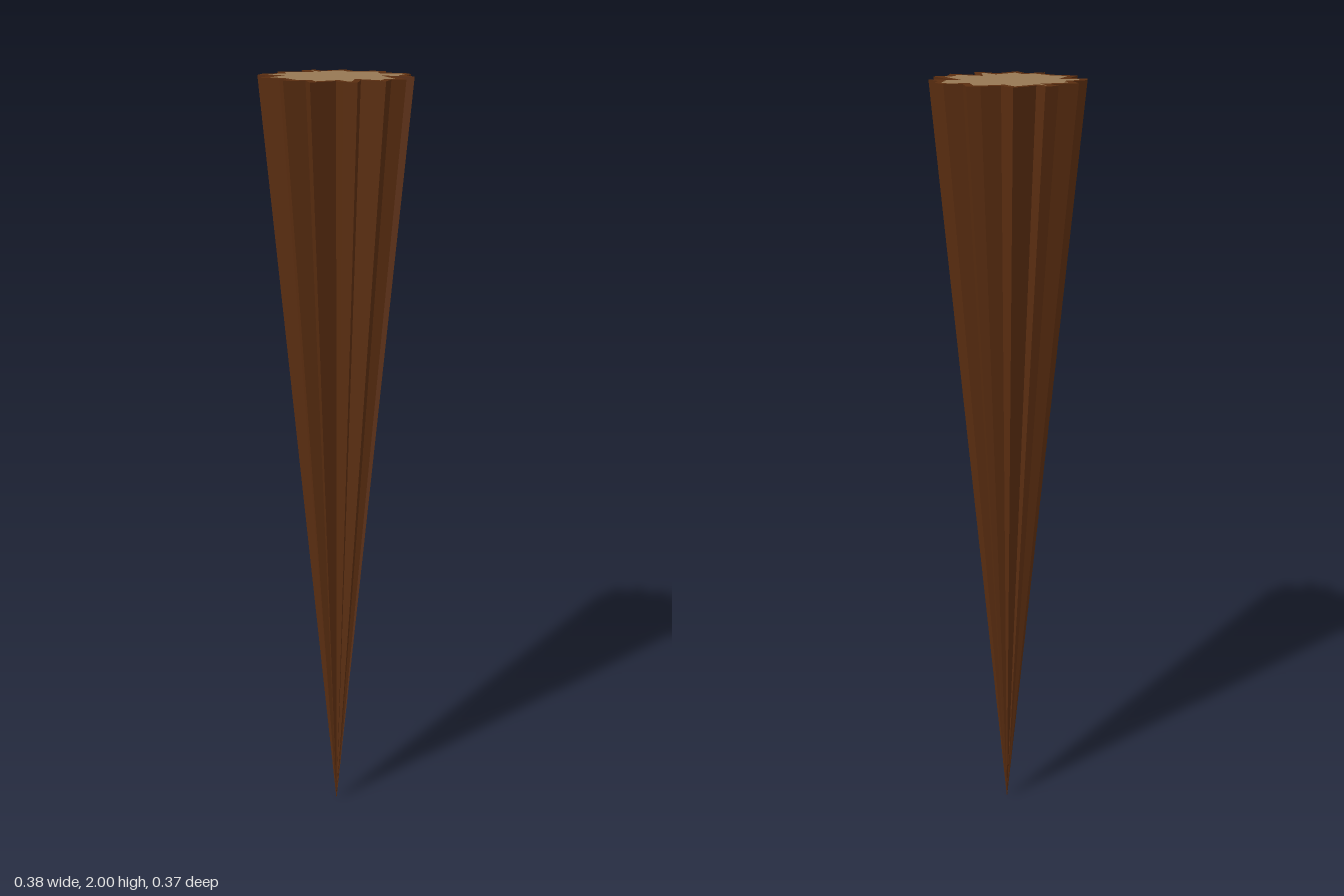
import * as THREE from 'three';

const HEIGHT = 2;

// Jagged star outlines as [x, z], running from +x towards +z
const barkOutline = [
  [0.187, 0], [0.16, 0.024], [0.171, 0.071], [0.102, 0.065], [0.13, 0.131], [0.094, 0.133],
  [0.067, 0.119], [0.035, 0.183], [0, 0.144], [-0.038, 0.181], [-0.035, 0.151], [-0.081, 0.128],
  [-0.137, 0.131], [-0.135, 0.065], [-0.178, 0.071], [-0.188, 0.037], [-0.163, 0], [-0.188, -0.037],
  [-0.133, -0.078], [-0.16, -0.106], [-0.137, -0.133], [-0.11, -0.117], [-0.074, -0.176],
  [-0.035, -0.146], [0.004, -0.176], [0.035, -0.187], [0.06, -0.14], [0.101, -0.158],
  [0.131, -0.135], [0.138, -0.096], [0.171, -0.074], [0.119, -0.062],
];
const coreOutline = [
  [0.158, 0], [0.14, 0.021], [0.147, 0.051], [0.078, 0.049], [0.106, 0.117], [0.097, 0.117],
  [0.06, 0.092], [0.029, 0.149], [0, 0.119], [-0.012, 0.13], [-0.019, 0.144], [-0.078, 0.11],
  [-0.117, 0.113], [-0.117, 0.042], [-0.163, 0.049], [-0.169, 0.033], [-0.14, 0], [-0.163, -0.031],
  [-0.106, -0.076], [-0.135, -0.108], [-0.133, -0.109], [-0.104, -0.092], [-0.069, -0.149],
  [-0.035, -0.121], [0.012, -0.158], [0.026, -0.163], [0.051, -0.117], [0.099, -0.137],
  [0.119, -0.128], [0.122, -0.083], [0.13, -0.076], [0.09, -0.06],
];

const toPoints = (outline) => outline.map(([x, z]) => new THREE.Vector2(x, -z));

// Flat horizontal face at the top of the stake
function topFace(shape) {
  return new THREE.ShapeGeometry(shape).rotateX(-Math.PI / 2).translate(0, HEIGHT, 0);
}

// Facets running from the outline down to a single point
function spikeSides(outline) {
  const positions = [];
  outline.forEach(([x, z], i) => {
    const [nx, nz] = outline[(i + 1) % outline.length];
    positions.push(x, HEIGHT, z, nx, HEIGHT, nz, 0, 0, 0);
  });
  const geometry = new THREE.BufferGeometry();
  geometry.setAttribute('position', new THREE.Float32BufferAttribute(positions, 3));
  geometry.computeVertexNormals();
  return geometry;
}

export function createModel() {
  const group = new THREE.Group();
  group.name = 'woodenSpike';
  const bark = new THREE.MeshStandardMaterial({ color: 0x5a2d10, flatShading: true });
  const wood = new THREE.MeshStandardMaterial({ color: 0x967854, flatShading: true });

  const add = (name, geometry, material) => {
    const mesh = new THREE.Mesh(geometry, material);
    mesh.name = name;
    group.add(mesh);
  };

  // Bark: tapering grooved sides and the rim around the cut
  add('barkSides', spikeSides(barkOutline), bark);
  const rim = new THREE.Shape(toPoints(barkOutline));
  rim.holes.push(new THREE.Path(toPoints(coreOutline)));
  add('barkRim', topFace(rim), bark);

  // Pale cut wood
  add('cutWood', topFace(new THREE.Shape(toPoints(coreOutline))), wood);
  return group;
}
